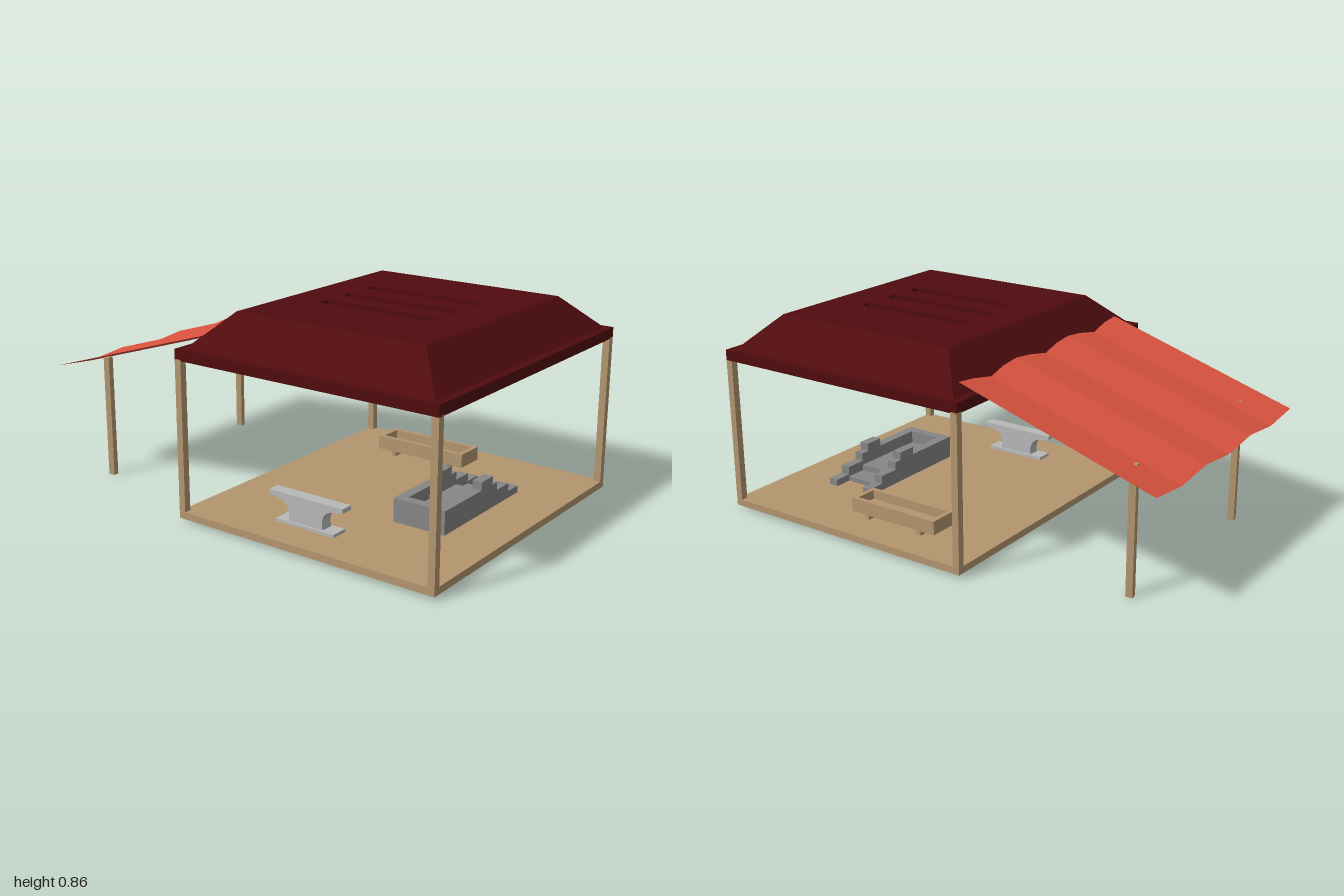
import * as THREE from 'three';

const mat = (name, color, side = THREE.FrontSide) => {
  const m = new THREE.MeshStandardMaterial({ color, side, flatShading: true });
  m.name = name;
  return m;
};

export function createModel() {
  const wood = mat('wood', 0xb3956f);
  const roofRed = mat('darkRedRoof', 0x500c0f);
  const canvas = mat('redCanvas', 0xd9533e, THREE.DoubleSide);
  const stone = mat('greyStone', 0x868686);
  const steel = mat('lightSteel', 0xb8b8b8);

  const model = new THREE.Group();
  model.name = 'openWorkshop';

  const add = (parent, name, geometry, material) => {
    const mesh = new THREE.Mesh(geometry, material);
    mesh.name = name;
    parent.add(mesh);
    return mesh;
  };
  // box given by its limits on each axis
  const box = (parent, name, material, [x0, x1], [y0, y1], [z0, z1]) => {
    const g = new THREE.BoxGeometry(x1 - x0, y1 - y0, z1 - z0);
    g.translate((x0 + x1) / 2, (y0 + y1) / 2, (z0 + z1) / 2);
    return add(parent, name, g, material);
  };
  const group = (name) => {
    const g = new THREE.Group();
    g.name = name;
    model.add(g);
    return g;
  };
  const polygon = (points) => new THREE.Shape(points.map(([x, y]) => new THREE.Vector2(x, y)));

  // floor and four corner posts
  const frame = group('frame');
  box(frame, 'floor', wood, [-0.21, 1], [0.015, 0.045], [-0.675, 0.675]);
  for (const x of [-0.21, 0.97])
    for (const z of [-0.675, 0.645])
      box(frame, 'cornerPost', wood, [x, x + 0.03], [0.045, 0.68], [z, z + 0.03]);

  // roof: eaves slab and hipped upper part, with three smoke slots cut through both
  const roof = group('roof');
  const cx = 0.395;
  const slotted = (halfX, halfZ, depth, y) => {
    const shape = polygon([[cx - halfX, -halfZ], [cx + halfX, -halfZ], [cx + halfX, halfZ], [cx - halfX, halfZ]]);
    for (const z of [-0.172, -0.002, 0.152]) {
      const a = -z - 0.0275, b = -z + 0.0275;
      shape.holes.push(new THREE.Path(
        [[0.12, a], [0.12, b], [0.66, b], [0.66, a]].map(([px, py]) => new THREE.Vector2(px, py))));
    }
    const g = new THREE.ExtrudeGeometry(shape, { depth, bevelEnabled: false });
    g.rotateX(-Math.PI / 2);
    g.translate(0, y, 0);
    return g;
  };
  add(roof, 'eaves', slotted(0.605, 0.675, 0.045, 0.675), roofRed);
  const hip = slotted(0.435, 0.497, 0.14, 0.72);
  const hp = hip.attributes.position;
  for (let i = 0; i < hp.count; i++) {
    const dx = hp.getX(i) - cx;
    // spread the lower outline to make the slopes
    if (hp.getY(i) < 0.73 && Math.abs(dx) > 0.43) {
      hp.setX(i, cx + Math.sign(dx) * 0.573);
      hp.setZ(i, Math.sign(hp.getZ(i)) * 0.65);
    }
  }
  hip.computeVertexNormals();
  add(roof, 'hippedRoof', hip, roofRed);

  // side awning: a folded sheet sloping down to the model's right
  const awning = group('awning');
  const sheet = new THREE.PlaneGeometry(0.855, 1.15, 1, 6);
  sheet.rotateX(-Math.PI / 2);
  sheet.translate(-0.5725, 0, 0);
  const sp = sheet.attributes.position;
  for (let i = 0; i < sp.count; i++) {
    const fold = Math.round((sp.getZ(i) + 0.575) / (1.15 / 6)) % 2;
    sp.setY(i, 0.498 + (sp.getX(i) + 1) * 0.31 - fold * 0.02);
  }
  const folded = sheet.toNonIndexed();
  folded.computeVertexNormals();
  add(awning, 'awningSheet', folded, canvas);
  for (const z of [0.448, -0.42]) {
    const post = add(awning, 'awningPost', new THREE.BoxGeometry(0.029, 0.537, 0.026), wood);
    post.position.set(-0.823, 0.2685, z);
    post.rotation.y = 0.12;
  }

  // wooden trough on small feet
  const trough = group('trough');
  const tx = [0.03, 0.465], tz = [-0.525, -0.39];
  box(trough, 'troughBottom', wood, tx, [0.065, 0.085], tz);
  for (const z of [-0.525, -0.41])
    box(trough, 'troughSide', wood, tx, [0.085, 0.125], [z, z + 0.02]);
  for (const x of [0.03, 0.445])
    box(trough, 'troughEnd', wood, [x, x + 0.02], [0.085, 0.125], [-0.505, -0.41]);
  for (const x of [0.1, 0.375])
    box(trough, 'troughFoot', wood, [x, x + 0.02], [0.045, 0.065], tz);

  // anvil: base plate and curved body
  const anvil = group('anvil');
  box(anvil, 'anvilBase', steel, [0.165, 0.45], [0.045, 0.058], [0.45, 0.525]);
  const side = new THREE.Shape();
  side.moveTo(0.225, 0.058);
  side.lineTo(0.39, 0.058);
  side.quadraticCurveTo(0.375, 0.125, 0.43, 0.142);
  side.lineTo(0.485, 0.15);
  side.lineTo(0.485, 0.168);
  side.lineTo(0.125, 0.168);
  side.lineTo(0.125, 0.152);
  side.lineTo(0.18, 0.142);
  side.quadraticCurveTo(0.235, 0.125, 0.225, 0.058);
  const body = new THREE.ExtrudeGeometry(side, { depth: 0.055, bevelEnabled: false, curveSegments: 5 });
  body.translate(0, 0, 0.46);
  add(anvil, 'anvilBody', body, steel);

  // stone forge: stepped side walls around a sunken hearth
  const forge = group('forge');
  const steps = [[0.25, 0.045], [0.25, 0.145], [-0.025, 0.145], [-0.025, 0.18], [-0.112, 0.18], [-0.112, 0.145],
    [-0.15, 0.145], [-0.15, 0.11], [-0.245, 0.11], [-0.245, 0.075], [-0.325, 0.075], [-0.325, 0.045]];
  for (const x of [0.54, 0.733]) {
    const g = new THREE.ExtrudeGeometry(polygon(steps.map(([z, y]) => [-z, y])), { depth: 0.043, bevelEnabled: false });
    g.rotateY(Math.PI / 2);
    g.translate(x, 0, 0);
    add(forge, 'forgeSideWall', g, stone);
  }
  box(forge, 'forgeFrontWall', stone, [0.583, 0.733], [0.045, 0.145], [0.207, 0.25]);
  box(forge, 'hearth', stone, [0.583, 0.733], [0.045, 0.09], [-0.15, 0.207]);
  box(forge, 'hearthStep', stone, [0.583, 0.733], [0.045, 0.065], [-0.245, -0.15]);

  return model;
}
